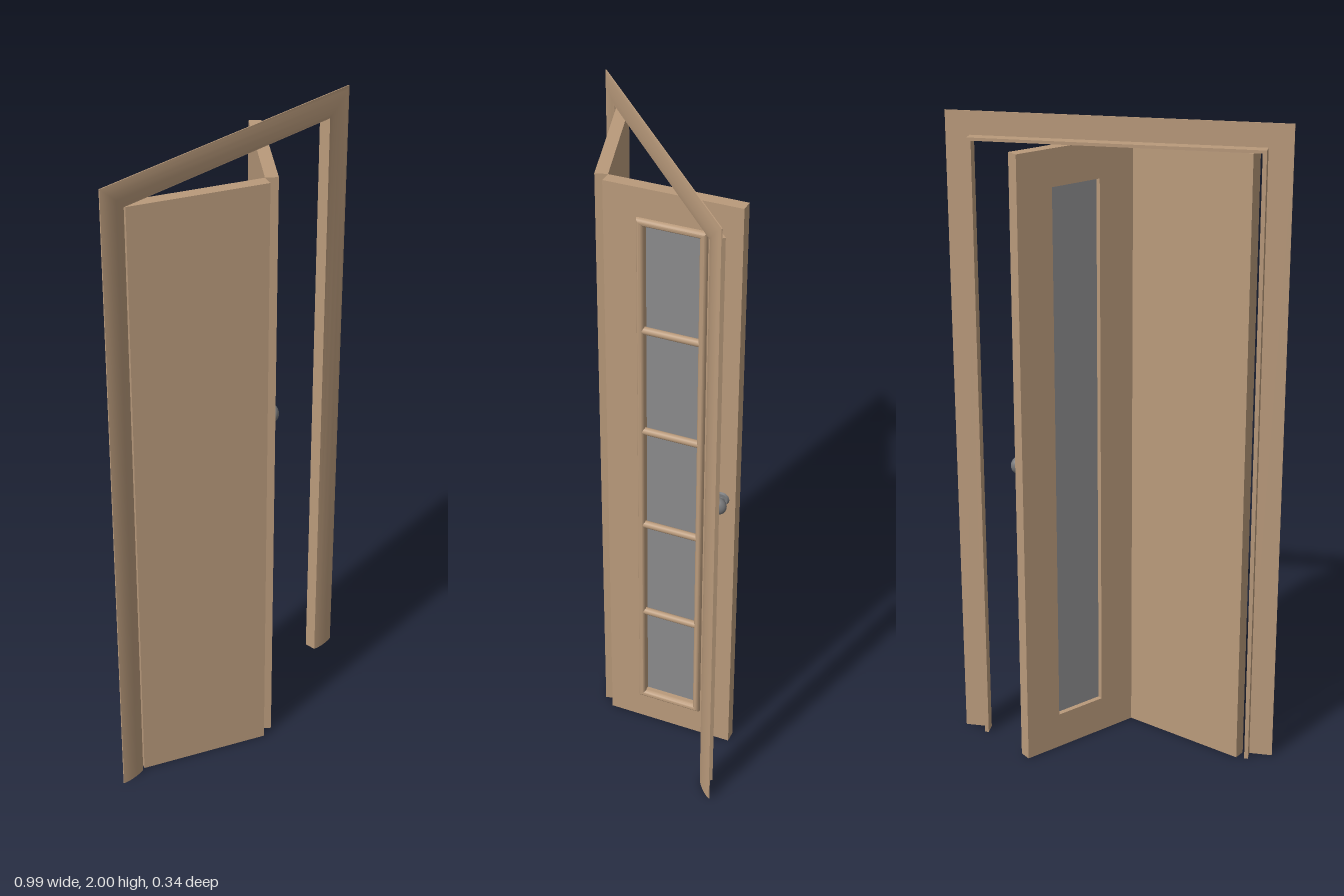
import * as THREE from 'three';
import { toCreasedNormals } from 'three/addons/utils/BufferGeometryUtils.js';

const wood = new THREE.MeshStandardMaterial({ color: 0xb99a7b });
wood.name = 'wood';
const glass = new THREE.MeshStandardMaterial({ color: 0x8a8a8c });
glass.name = 'glass';
const metal = new THREE.MeshStandardMaterial({ color: 0x77787a });
metal.name = 'metal';

function add(parent, name, geometry, material, x = 0, y = 0, z = 0) {
  const mesh = new THREE.Mesh(geometry, material);
  mesh.name = name;
  mesh.position.set(x, y, z);
  parent.add(mesh);
  return mesh;
}

// Box given by its two opposite corners
function box(parent, name, material, [x0, y0, z0], [x1, y1, z1]) {
  return add(parent, name, new THREE.BoxGeometry(x1 - x0, y1 - y0, z1 - z0), material,
    (x0 + x1) / 2, (y0 + y1) / 2, (z0 + z1) / 2);
}

// Mitred moulding: a closed profile of [inset, height] swept along clockwise corners [x, y, insetX, insetY]
function moulding(profile, corners, closed) {
  const pos = [];
  const at = (i, j) => {
    const [x, y, ix, iy] = corners[i % corners.length];
    const [d, h] = profile[j % profile.length];
    return [x + ix * d, y + iy * d, h];
  };
  const tri = (a, b, c) => pos.push(...a, ...b, ...c);
  const last = corners.length - 1;
  for (let i = 0; i < last + (closed ? 1 : 0); i++) {
    for (let j = 0; j < profile.length; j++) {
      const a = at(i, j), b = at(i, j + 1), c = at(i + 1, j + 1), d = at(i + 1, j);
      tri(a, b, c);
      tri(a, c, d);
    }
  }
  if (!closed) {
    for (let j = 1; j < profile.length - 1; j++) {
      tri(at(0, 0), at(0, j + 1), at(0, j));
      tri(at(last, 0), at(last, j), at(last, j + 1));
    }
  }
  const g = new THREE.BufferGeometry();
  g.setAttribute('position', new THREE.Float32BufferAttribute(pos, 3));
  return toCreasedNormals(g, 0.6);
}

function rectangle(path, x0, y0, x1, y1) {
  path.moveTo(x0, y0);
  path.lineTo(x1, y0);
  path.lineTo(x1, y1);
  path.lineTo(x0, y1);
  path.closePath();
  return path;
}

export function createModel() {
  const model = new THREE.Group();
  model.name = 'foldingDoor';

  // Casing around the opening, gently rounded on the front
  const casingProfile = [[0, -0.005], [0, -0.002], [0.012, 0.001], [0.03, 0.003],
    [0.052, 0.003], [0.07, 0.001], [0.083, -0.002], [0.083, -0.005]];
  add(model, 'casing', moulding(casingProfile, [
    [-0.496, 0, 1, 0], [-0.496, 2, 1, -0.9], [0.496, 2, -1, -0.9], [0.496, 0, -1, 0],
  ], false), wood);

  // Jamb lining behind the casing
  for (const s of [-1, 1]) {
    add(model, s < 0 ? 'rightJamb' : 'leftJamb', new THREE.BoxGeometry(0.012, 1.931, 0.036),
      wood, s * 0.419, 0.9655, -0.022);
  }
  box(model, 'headJamb', wood, [-0.413, 1.922, -0.04], [0.413, 1.931, -0.004]);

  // Both leaves share the fold line as their origin
  const W = 0.407, H = 1.92, T = 0.0375;
  const plainLeaf = new THREE.Group();
  plainLeaf.name = 'plainLeaf';
  plainLeaf.position.set(-0.02, 0, 0.135);
  plainLeaf.rotation.y = -0.441;
  model.add(plainLeaf);
  box(plainLeaf, 'plainPanel', wood, [-W, 0, 0], [0, H, T]);

  const glazedLeaf = new THREE.Group();
  glazedLeaf.name = 'glazedLeaf';
  glazedLeaf.position.copy(plainLeaf.position);
  glazedLeaf.rotation.y = 0.846;
  model.add(glazedLeaf);

  // Panel with the window opening
  const x0 = 0.12, x1 = 0.287, y0 = 0.115, y1 = 1.81;
  const outline = rectangle(new THREE.Shape(), 0, 0, W, H);
  outline.holes.push(rectangle(new THREE.Path(), x0, y0, x1, y1));
  add(glazedLeaf, 'glazedPanel',
    new THREE.ExtrudeGeometry(outline, { depth: T, bevelEnabled: false }), wood);
  box(glazedLeaf, 'windowPane', glass, [x0, y0, 0.016], [x1, y1, 0.022]);

  // Half-round trim around the window
  const r = 0.0115;
  const trimProfile = [];
  for (let i = 0; i <= 8; i++) {
    const a = Math.PI * (1 - i / 8);
    trimProfile.push([r + r * Math.cos(a), T + 0.014 * Math.sin(a)]);
  }
  const e = 2 * r - 0.002;
  add(glazedLeaf, 'windowTrim', moulding(trimProfile, [
    [x0 - e, y0 - e, 1, 1], [x0 - e, y1 + e, 1, -1],
    [x1 + e, y1 + e, -1, -1], [x1 + e, y0 - e, -1, 1],
  ], true), wood);

  // Round glazing bars
  for (let i = 0; i < 4; i++) {
    const bar = add(glazedLeaf, 'glazingBar' + (i + 1),
      new THREE.CylinderGeometry(r, r, x1 - x0 + 0.01, 16), wood,
      (x0 + x1) / 2, 0.451 + i * 0.3423, T);
    bar.rotation.z = Math.PI / 2;
  }

  // Knob with rose and stem, turned about the leaf's normal
  const knob = new THREE.Group();
  knob.name = 'knob';
  knob.position.set(0.366, 0.964, T);
  knob.rotation.x = Math.PI / 2;
  glazedLeaf.add(knob);
  add(knob, 'knobRose', new THREE.CylinderGeometry(0.019, 0.022, 0.006, 24), metal, 0, 0.003, 0);
  add(knob, 'knobStem', new THREE.CylinderGeometry(0.009, 0.009, 0.03, 20), metal, 0, 0.015, 0);
  add(knob, 'knobHead', new THREE.SphereGeometry(0.028, 28, 18), metal, 0, 0.038, 0)
    .scale.set(1, 0.72, 1);

  return model;
}
